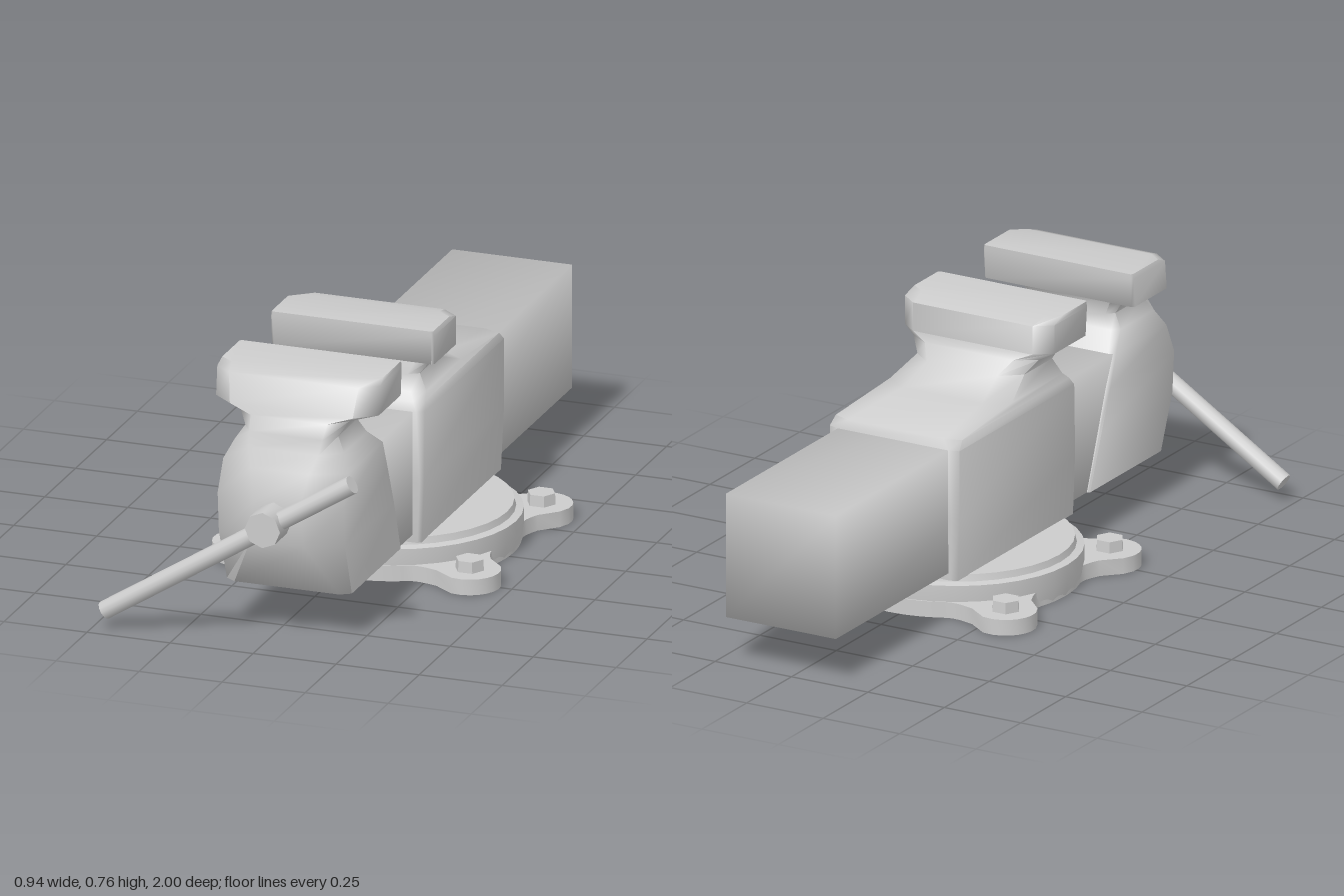
import * as THREE from 'three';
import { mergeVertices, toCreasedNormals } from 'three/addons/utils/BufferGeometryUtils.js';

const CX = 0.035; // centre line of the vise
const BZ = -0.035; // centre of the round base
const material = new THREE.MeshStandardMaterial({ color: 0xcccccc });

function add(parent, name, geometry, x = 0, y = 0, z = 0) {
  const mesh = new THREE.Mesh(geometry, material);
  mesh.name = name;
  mesh.position.set(x, y, z);
  parent.add(mesh);
  return mesh;
}

// Stacks chamfered rectangles along y.
// Section: [y, halfWidth, zFront, zBack, frontChamferX, frontChamferZ, backChamferX, backChamferZ]
function loft(sections) {
  const pos = [], index = [], n = 8;
  for (const [y, w, f, b, fx, fz, bx, bz] of sections) {
    const loop = [
      [-w + fx, f], [w - fx, f], [w, f - fz], [w, b + bz],
      [w - bx, b], [-w + bx, b], [-w, b + bz], [-w, f - fz],
    ];
    for (const [x, z] of loop) pos.push(x, y, z);
  }
  const last = (sections.length - 1) * n;
  for (let i = 0; i < last; i += n) {
    for (let j = 0; j < n; j++) {
      const k = (j + 1) % n;
      index.push(i + j, i + k, i + n + k, i + j, i + n + k, i + n + j);
    }
  }
  for (let j = 1; j < n - 1; j++) {
    index.push(0, j + 1, j, last, last + j, last + j + 1);
  }
  const g = new THREE.BufferGeometry();
  g.setAttribute('position', new THREE.Float32BufferAttribute(pos, 3));
  g.setIndex(index);
  return toCreasedNormals(g, 1.3);
}

// Box with normals blended over its edges
function softBox(w, h, d) {
  const g = new THREE.BoxGeometry(w, h, d);
  g.deleteAttribute('normal');
  g.deleteAttribute('uv');
  const merged = mergeVertices(g);
  merged.computeVertexNormals();
  return merged;
}

// Flange outline: a circle with four rounded lugs
function flangeGeometry() {
  const d = 0.447, r = 0.09, disc = 0.365, lug = Math.atan2(0.29, 0.34);
  const edge = Math.asin(r / d), flare = 0.4, points = [];
  for (let i = 0; i < 144; i++) {
    const a = (i / 144) * Math.PI * 2;
    const folded = Math.atan2(Math.abs(Math.sin(a)), Math.abs(Math.cos(a)));
    const p = Math.abs(folded - lug);
    let radius = disc;
    if (p < edge) {
      radius = d * Math.cos(p) + Math.sqrt(r * r - (d * Math.sin(p)) ** 2);
    } else if (p < flare) {
      radius = disc + 0.06 * ((flare - p) / (flare - edge)) ** 2;
    }
    points.push(new THREE.Vector2(radius * Math.cos(a), radius * Math.sin(a)));
  }
  const shape = new THREE.Shape(points);
  shape.holes.push(new THREE.Path().absarc(0, 0, 0.33, 0, Math.PI * 2, true));
  const g = new THREE.ExtrudeGeometry(shape, { depth: 0.047, bevelEnabled: false, curveSegments: 24 });
  g.rotateX(-Math.PI / 2);
  return toCreasedNormals(g, 0.7);
}

export function createModel() {
  const model = new THREE.Group();
  model.name = 'benchVise';

  // Round base, hollow underneath, on a lugged flange
  const base = new THREE.Group();
  base.name = 'base';
  base.position.set(CX, 0, BZ);
  model.add(base);
  add(base, 'flange', flangeGeometry());
  const profile = [
    [0.33, 0.002], [0.365, 0.002], [0.372, 0.047], [0.372, 0.095], [0.35, 0.1],
    [0.345, 0.12], [0, 0.12], [0, 0.108], [0.2, 0.098], [0.3, 0.06], [0.33, 0.002],
  ].map(([x, y]) => new THREE.Vector2(x, y));
  const turntable = add(base, 'turntable', toCreasedNormals(new THREE.LatheGeometry(profile, 36), 0.7));
  turntable.scale.z = 0.97;
  for (const sx of [-1, 1]) {
    for (const sz of [-1, 1]) {
      const bolt = new THREE.CylinderGeometry(0.041, 0.043, 0.036, 6);
      bolt.rotateY(Math.PI / 6);
      add(base, 'bolt', toCreasedNormals(bolt, 0.5), sx * 0.34, 0.062, sz * 0.29);
    }
  }

  // Fixed body, with neck and jaw
  add(model, 'fixedJaw', loft([
    [0.118, 0.205, 0.29, -0.37, 0.01, 0.01, 0.02, 0.01],
    [0.3, 0.212, 0.29, -0.375, 0.01, 0.01, 0.02, 0.01],
    [0.51, 0.212, 0.29, -0.375, 0.02, 0.015, 0.03, 0.01],
    [0.535, 0.207, 0.275, -0.36, 0.03, 0.02, 0.05, 0.02],
    [0.555, 0.2, 0.25, -0.1, 0.04, 0.02, 0.07, 0.05],
    [0.6, 0.175, 0.235, 0.01, 0.03, 0.02, 0.06, 0.05],
    [0.64, 0.205, 0.222, 0.05, 0.04, 0.02, 0.06, 0.04],
    [0.66, 0.245, 0.29, 0.07, 0.008, 0.008, 0.05, 0.04],
    [0.745, 0.245, 0.295, 0.07, 0.005, 0.005, 0.05, 0.04],
    [0.76, 0.243, 0.295, 0.13, 0.005, 0.005, 0.04, 0.03],
  ]), CX);

  // Moving body, with neck and jaw
  add(model, 'movingJaw', loft([
    [0.14, 0.188, 0.82, 0.4, 0.03, 0.02, 0.005, 0.005],
    [0.3, 0.19, 0.9, 0.46, 0.11, 0.04, 0.005, 0.005],
    [0.42, 0.19, 0.91, 0.505, 0.12, 0.04, 0.01, 0.01],
    [0.51, 0.188, 0.875, 0.54, 0.1, 0.045, 0.02, 0.01],
    [0.56, 0.165, 0.85, 0.595, 0.06, 0.05, 0.02, 0.02],
    [0.6, 0.14, 0.83, 0.607, 0.03, 0.05, 0.02, 0.02],
    [0.64, 0.165, 0.805, 0.607, 0.05, 0.05, 0.03, 0.02],
    [0.66, 0.245, 0.785, 0.55, 0.06, 0.05, 0.008, 0.008],
    [0.745, 0.245, 0.765, 0.545, 0.05, 0.04, 0.005, 0.005],
    [0.76, 0.243, 0.72, 0.545, 0.04, 0.03, 0.005, 0.005],
  ]), CX);

  // Slide bar running through the fixed body
  add(model, 'slideBar', softBox(0.36, 0.37, 1.6), CX, 0.325, -0.2);

  // Screw head and sloping handle
  const head = new THREE.CylinderGeometry(0.053, 0.053, 0.13, 8);
  head.rotateX(Math.PI / 2);
  add(model, 'screwHead', toCreasedNormals(head, 1), 0.028, 0.373, 0.935);
  const from = new THREE.Vector3(-0.465, 0.055, 0.953);
  const to = new THREE.Vector3(0.281, 0.527, 0.953);
  const span = to.clone().sub(from);
  const handle = add(model, 'handle', new THREE.CylinderGeometry(0.027, 0.027, span.length(), 12));
  handle.position.copy(from).lerp(to, 0.5);
  handle.quaternion.setFromUnitVectors(new THREE.Vector3(0, 1, 0), span.normalize());

  return model;
}
